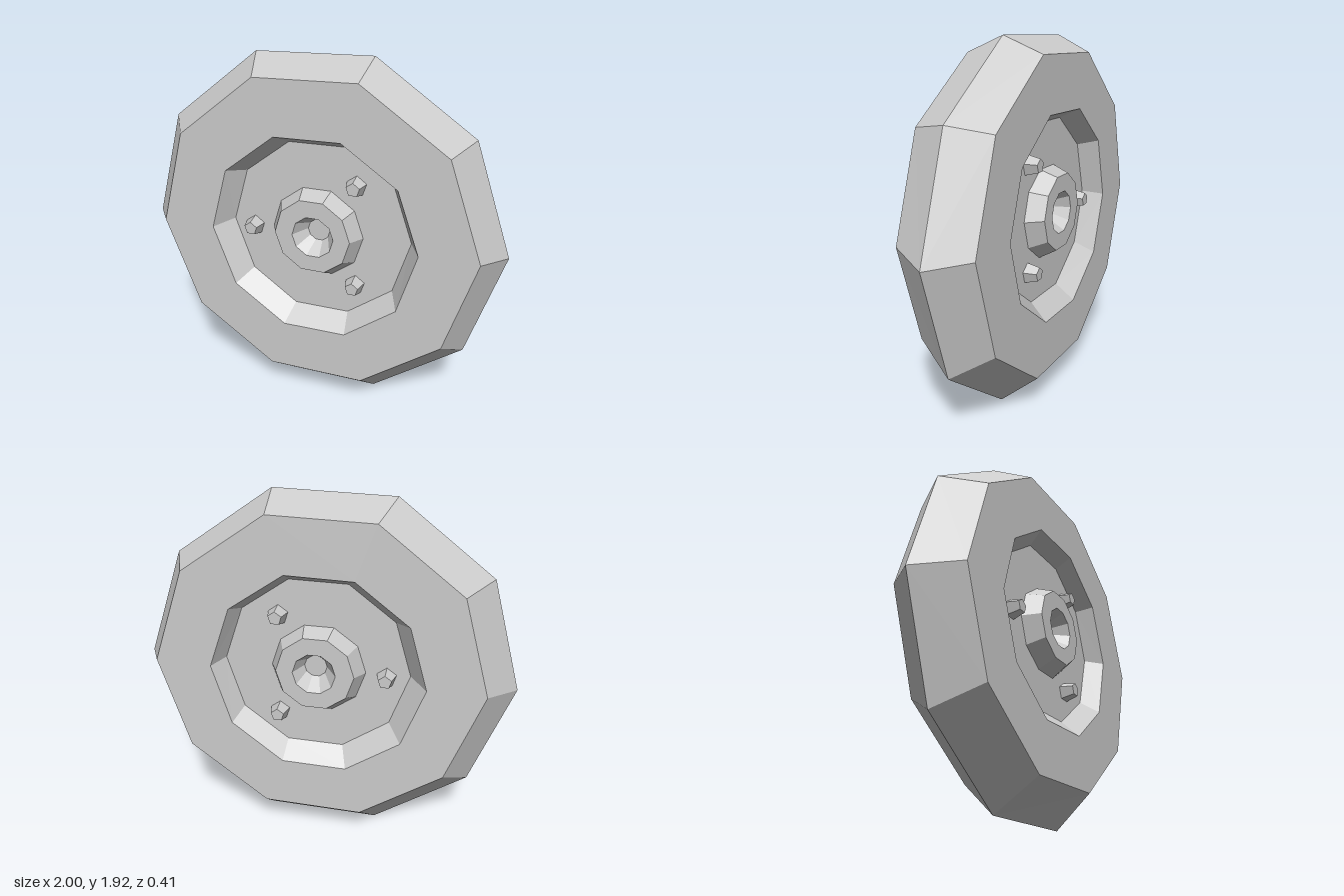
import * as THREE from 'three';

const material = new THREE.MeshStandardMaterial({ color: 0xcccccc, flatShading: true });

// Skin between successive rings [cx, cy, radius, z, turn in degrees]; side = 1 front, -1 back
function loft(name, rings, sides, side, capped = false) {
  const pos = [];
  const point = ([cx, cy, r, z, turn], i) => {
    const a = THREE.MathUtils.degToRad(turn) + (i / sides) * Math.PI * 2;
    return [cx + r * Math.cos(a), cy + r * Math.sin(a), z * side];
  };
  const tri = (a, b, c) => pos.push(...a, ...(side > 0 ? b : c), ...(side > 0 ? c : b));
  for (let k = 0; k < rings.length - 1; k++) {
    for (let i = 0; i < sides; i++) {
      const a = point(rings[k], i), b = point(rings[k], i + 1);
      const c = point(rings[k + 1], i + 1), d = point(rings[k + 1], i);
      tri(a, b, c);
      tri(a, c, d);
    }
  }
  if (capped) {
    const end = rings[rings.length - 1];
    for (let i = 0; i < sides; i++) tri([end[0], end[1], end[3] * side], point(end, i), point(end, i + 1));
  }
  const geometry = new THREE.BufferGeometry();
  geometry.setAttribute('position', new THREE.Float32BufferAttribute(pos, 3));
  geometry.computeVertexNormals();
  const mesh = new THREE.Mesh(geometry, material);
  mesh.name = name;
  return mesh;
}

// Shared seams between the parts
const tread = [0, 0.965, 1.0, 0, 1.8];
const shoulder = [0.026, 1.01, 0.865, 0.205, 1.9];
const rimLip = [0.027, 1.008, 0.566, 0.205, 1.9];
const rimFloor = [0.042, 1.03, 0.492, 0.11, 1.5];
const hubBase = [0.032, 1.02, 0.25, 0.11, 1];
const hubEdge = [0.035, 1.03, 0.205, 0.203, 1];
const boreEdge = [0.039, 1.028, 0.113, 0.203, 1];
const boreFloor = [0.044, 1.037, 0.06, 0.12, 1];
const nutPositions = [[-0.327, 1.0], [0.24, 1.308], [0.245, 0.746]];

export function createModel() {
  const wheel = new THREE.Group();
  wheel.name = 'wheel';
  for (const side of [1, -1]) {
    const half = new THREE.Group();
    half.name = side > 0 ? 'frontHalf' : 'backHalf';
    half.add(
      loft('tyre', [tread, shoulder, rimLip], 10, side),
      loft('rim', [rimLip, rimFloor, hubBase], 10, side),
      loft('hub', [hubBase, hubEdge, boreEdge, boreFloor], 10, side, true),
    );
    // Three tapered five-sided wheel nuts
    for (const [x, y] of nutPositions) {
      half.add(loft('wheelNut', [[x, y, 0.054, 0.11, 18], [x + 0.002, y + 0.004, 0.037, 0.18, 18]], 5, side, true));
    }
    wheel.add(half);
  }
  return wheel;
}
